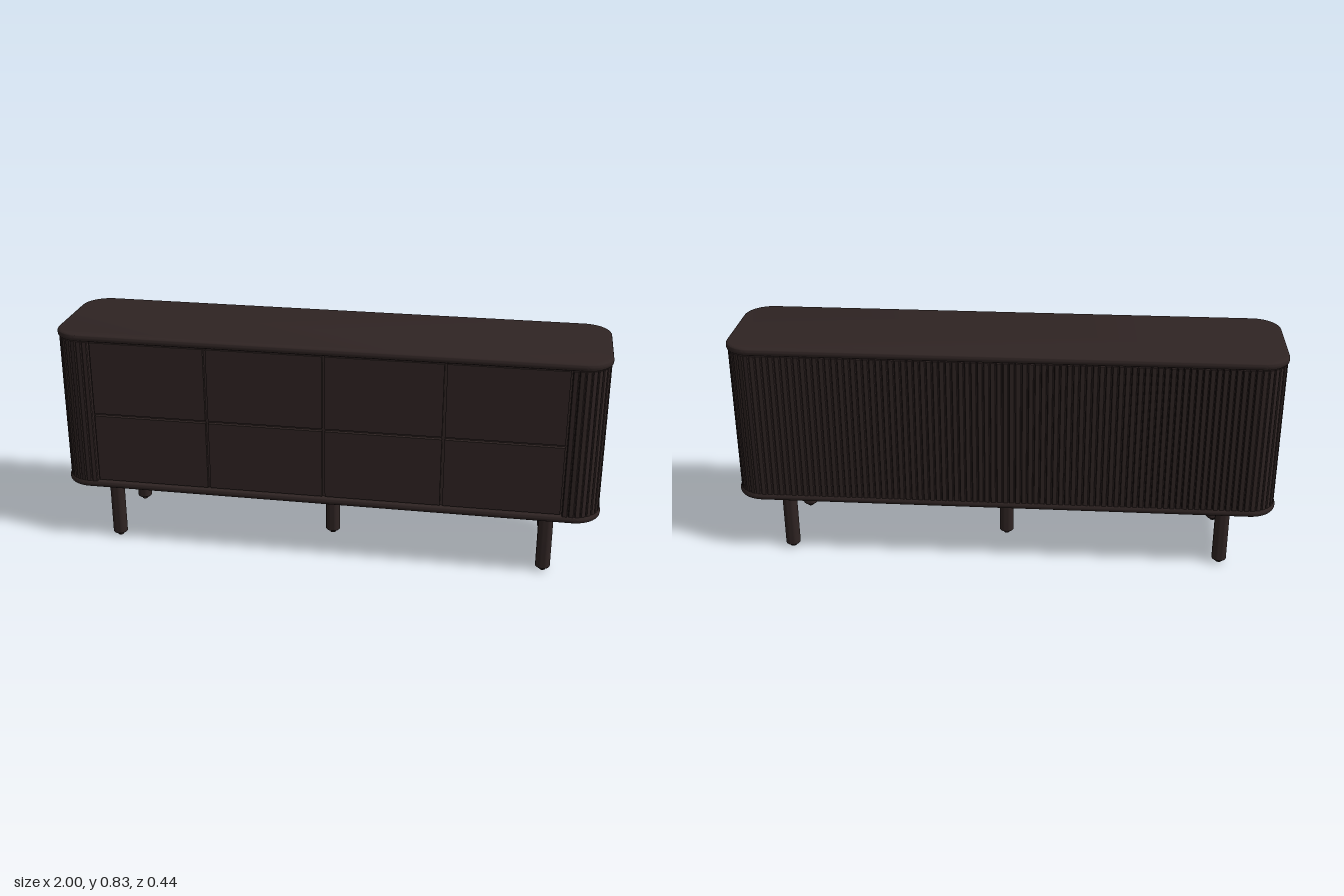
import * as THREE from 'three';
import { mergeGeometries, toCreasedNormals } from 'three/addons/utils/BufferGeometryUtils.js';

const HALF_X = 1, HALF_Z = 0.221, CORNER = 0.1;
const BASE_Y = 0.226, BODY_Y = 0.252, BODY_TOP = 0.806, TOP_Y = 0.833;
const FRONT_X = 0.862; // half width of the drawer front

function roundedRect(hx, hz, r) {
  const s = new THREE.Shape();
  s.absarc(hx - r, -hz + r, r, -Math.PI / 2, 0);
  s.absarc(hx - r, hz - r, r, 0, Math.PI / 2);
  s.absarc(-hx + r, hz - r, r, Math.PI / 2, Math.PI);
  s.absarc(-hx + r, -hz + r, r, Math.PI, Math.PI * 1.5);
  s.closePath();
  return s;
}

// Upright extrusion of a floor plan, starting at height y
function extrudeUp(shape, y, height, bevel = 0, curveSegments = 12) {
  const g = new THREE.ExtrudeGeometry(shape, {
    depth: height - 2 * bevel, curveSegments,
    bevelEnabled: bevel > 0, bevelSize: bevel, bevelThickness: bevel, bevelOffset: -bevel, bevelSegments: 4,
  });
  g.rotateX(-Math.PI / 2);
  g.translate(0, y + bevel, 0);
  return g;
}

export function createModel() {
  const group = new THREE.Group();
  const wood = new THREE.MeshStandardMaterial({ color: 0x2f2423 });
  wood.name = 'dark wood';

  const add = (name, geometry, x = 0, y = 0, z = 0, parent = group) => {
    const mesh = new THREE.Mesh(geometry, wood);
    mesh.name = name;
    mesh.position.set(x, y, z);
    parent.add(mesh);
    return mesh;
  };

  // Top and base slabs with softened edges
  const plan = roundedRect(HALF_X, HALF_Z, CORNER);
  add('topSlab', toCreasedNormals(extrudeUp(plan, BODY_TOP, TOP_Y - BODY_TOP, 0.01), 0.7));
  add('baseSlab', toCreasedNormals(extrudeUp(plan, BASE_Y, BODY_Y - BASE_Y, 0.01), 0.7));

  // Inner carcass, seen in the gaps
  const carcass = roundedRect(HALF_X - 0.018, HALF_Z - 0.023, CORNER - 0.018);
  add('carcass', toCreasedNormals(extrudeUp(carcass, BODY_Y, BODY_TOP - BODY_Y), 0.7));

  // Path of the slats: from the left front edge round the back to the right
  const hx = HALF_X - 0.005, hz = HALF_Z, r = CORNER;
  const path = new THREE.Path();
  path.moveTo(FRONT_X, -hz);
  path.lineTo(hx - r, -hz);
  path.absarc(hx - r, -hz + r, r, -Math.PI / 2, 0);
  path.absarc(hx - r, hz - r, r, 0, Math.PI / 2);
  path.absarc(-hx + r, hz - r, r, Math.PI / 2, Math.PI);
  path.absarc(-hx + r, -hz + r, r, Math.PI, Math.PI * 1.5);
  path.lineTo(-FRONT_X, -hz);

  // Chamfered slats side by side
  const count = Math.round(path.getLength() / 0.0225);
  const half = path.getLength() / count / 2 - 0.0008;
  const profile = [[-half, -0.02], [-half, -0.004], [-half + 0.003, 0], [half - 0.003, 0], [half, -0.004], [half, -0.02]];
  const slats = [];
  for (let i = 0; i < count; i++) {
    const u = (i + 0.5) / count;
    const p = path.getPointAt(u), t = path.getTangentAt(u);
    // Profile pairs are (along the path, outward)
    const pts = profile.map(([a, o]) => new THREE.Vector2(p.x + t.x * a + t.y * o, p.y + t.y * a - t.x * o));
    slats.push(extrudeUp(new THREE.Shape(pts), BODY_Y, BODY_TOP - BODY_Y));
  }
  add('slats', mergeGeometries(slats));

  // Drawer fronts: four columns, two rows
  const drawers = new THREE.Group();
  drawers.name = 'drawers';
  group.add(drawers);
  const gap = 0.01, colW = (2 * FRONT_X) / 4;
  const rows = [[BODY_Y + 0.004, 0.516], [0.526, BODY_TOP - 0.004]];
  for (const [y0, y1] of rows) {
    const front = new THREE.BoxGeometry(colW - gap, y1 - y0, 0.02);
    for (let c = 0; c < 4; c++) {
      add('drawerFront', front, -FRONT_X + (c + 0.5) * colW, (y0 + y1) / 2, 0.202, drawers);
    }
  }

  // Turned legs with collar and small foot
  const leg = toCreasedNormals(new THREE.LatheGeometry([
    [0, 0], [0.011, 0], [0.013, 0.012], [0.024, 0.012], [0.027, 0.015],
    [0.027, 0.221], [0.032, 0.221], [0.032, BASE_Y],
  ].map(([x, y]) => new THREE.Vector2(x, y)), 24), 0.6);
  for (const x of [-0.81, 0.81]) for (const z of [-0.157, 0.157]) add('cornerLeg', leg, x, 0, z);
  add('middleLeg', leg);

  return group;
}
